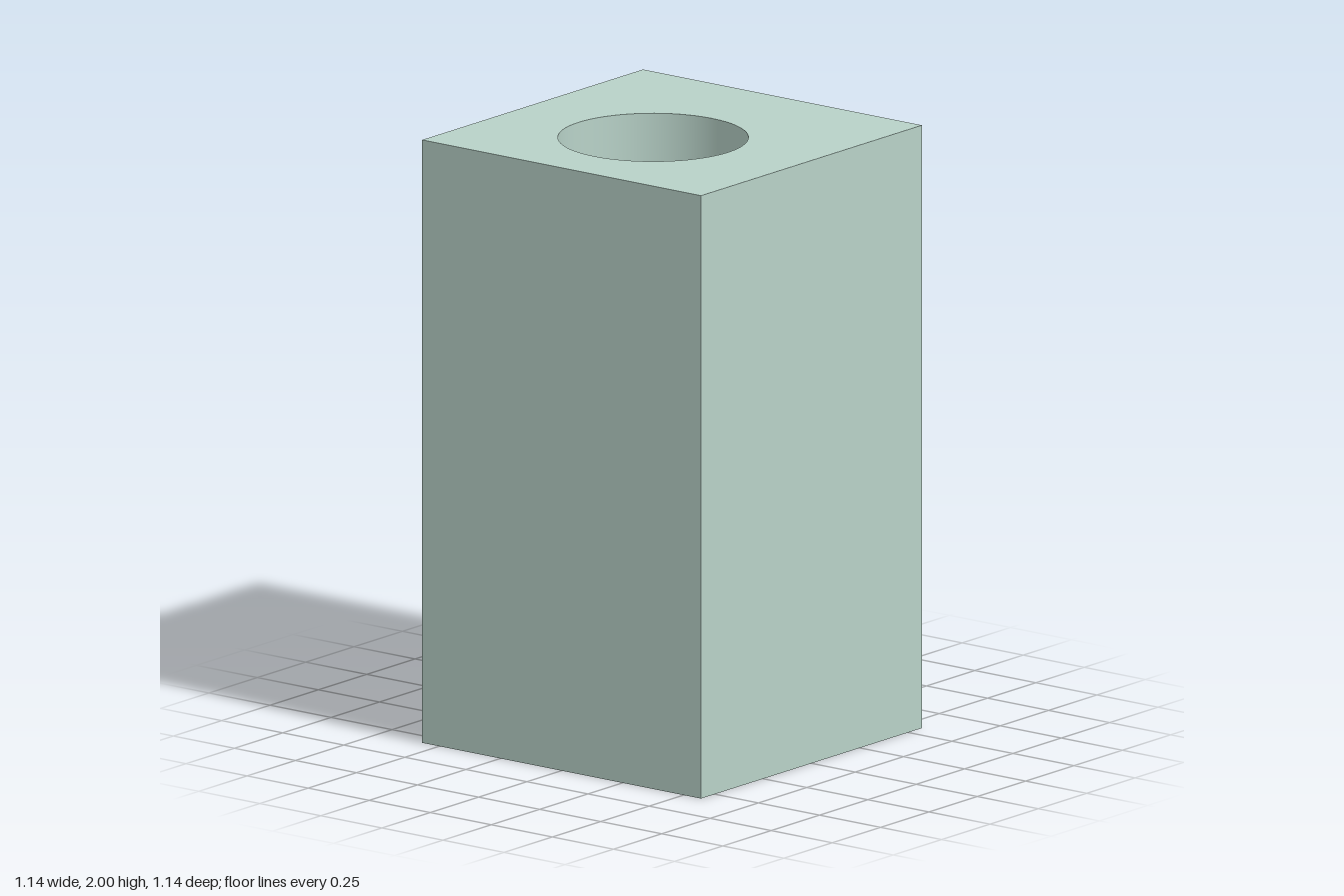
import * as THREE from 'three';
import { toCreasedNormals } from 'three/addons/utils/BufferGeometryUtils.js';

const HALF = 0.571, HEIGHT = 2, FLOOR = 0.25;
const HOLE = { x: -0.01, z: 0.085, radius: 0.306 };
const SEGMENTS = 96;

export function createModel() {
  const group = new THREE.Group();
  group.name = 'blockHolder';
  const material = new THREE.MeshStandardMaterial({ color: 0xb8d2c8 });

  // Square block with a round, off-centre bore
  const outline = new THREE.Shape([
    new THREE.Vector2(-HALF, -HALF),
    new THREE.Vector2(HALF, -HALF),
    new THREE.Vector2(HALF, HALF),
    new THREE.Vector2(-HALF, HALF),
  ]);
  outline.holes.push(new THREE.Path().absarc(HOLE.x, -HOLE.z, HOLE.radius, 0, Math.PI * 2, true));
  const blockGeometry = new THREE.ExtrudeGeometry(outline, {
    depth: HEIGHT, bevelEnabled: false, curveSegments: SEGMENTS / 2,
  });
  blockGeometry.rotateX(-Math.PI / 2);
  const block = new THREE.Mesh(toCreasedNormals(blockGeometry, Math.PI / 6), material);
  block.name = 'block';
  group.add(block);

  // Plug that closes the underside and forms the floor of the bore
  const floor = new THREE.Mesh(
    new THREE.CylinderGeometry(HOLE.radius, HOLE.radius, FLOOR, SEGMENTS), material);
  floor.name = 'boreFloor';
  floor.position.set(HOLE.x, FLOOR / 2, HOLE.z);
  group.add(floor);

  return group;
}
